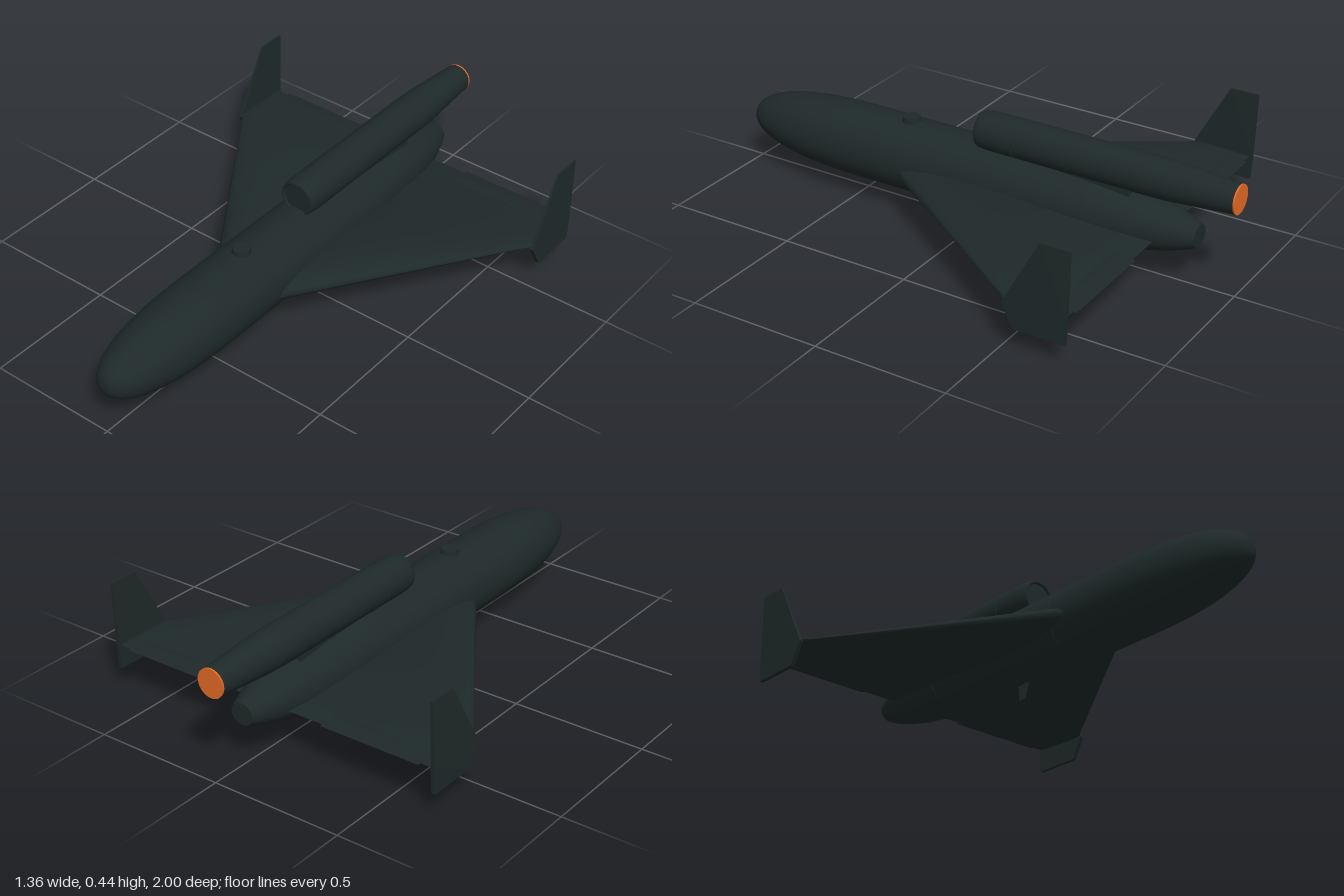
import * as THREE from 'three';

const hull = new THREE.MeshStandardMaterial({ color: 0x1e2929 });
hull.name = 'dark green grey';
const glow = new THREE.MeshStandardMaterial({ color: 0xe56b25 });
glow.name = 'exhaust orange';

function part(name, geometry, material = hull) {
  const mesh = new THREE.Mesh(geometry, material);
  mesh.name = name;
  return mesh;
}

// Body of revolution along z from [radius, z] pairs, tail to nose
function latheZ(profile) {
  const pts = profile.map(([r, z]) => new THREE.Vector2(r, z));
  return new THREE.LatheGeometry(pts, 48).rotateX(Math.PI / 2);
}

// Fine panel seam cut into a body of revolution
const seam = (r, z) => [
  [r, z - 0.002], [r, z - 0.002], [r - 0.002, z], [r - 0.002, z], [r, z + 0.002], [r, z + 0.002],
];

// Symmetric airfoil surface through stations { x, front, back, half }
function airfoilLoft(stations, side, y) {
  const n = 12, ring = 2 * n + 1, pos = [], index = [];
  for (const s of stations) {
    for (let i = 0; i < ring; i++) {
      // trailing edge, over the top to the nose, back underneath
      const a = (i / (ring - 1)) * Math.PI * 2;
      const u = (1 + Math.cos(a)) / 2;
      const t = 2.969 * Math.sqrt(u) - 1.26 * u - 3.516 * u * u + 2.843 * u ** 3 - 1.036 * u ** 4;
      const h = s.half * t * Math.sign(Math.PI - a);
      pos.push(side * s.x, y + h, s.front + (s.back - s.front) * u);
    }
  }
  const quad = (a, b, c, d) => {
    if (side > 0) index.push(a, c, b, a, d, c);
    else index.push(a, b, c, a, c, d);
  };
  for (let j = 0; j < stations.length - 1; j++) {
    for (let i = 0; i < ring - 1; i++) {
      const a = j * ring + i;
      quad(a, a + ring, a + ring + 1, a + 1);
    }
    // blunt trailing edge
    const a = j * ring;
    quad(a, a + ring - 1, a + 2 * ring - 1, a + ring);
  }
  // closed ends
  const last = (stations.length - 1) * ring;
  for (let i = 0; i < n; i++) {
    const k = ring - 1 - i;
    quad(i, i + 1, k - 1, k);
    quad(last + i, last + k, last + k - 1, last + i + 1);
  }
  const g = new THREE.BufferGeometry();
  g.setAttribute('position', new THREE.Float32BufferAttribute(pos, 3));
  g.setIndex(index);
  g.computeVertexNormals();
  return g;
}

// Upright plate from a [z, y] outline, centred on x = 0
function plate(outline, thickness) {
  const shape = new THREE.Shape(outline.map(([z, y]) => new THREE.Vector2(z, y)));
  return new THREE.ExtrudeGeometry(shape, { depth: thickness, bevelEnabled: false })
    .translate(0, 0, -thickness / 2)
    .rotateY(-Math.PI / 2);
}

export function createModel() {
  const model = new THREE.Group();
  model.name = 'deltaWingAircraft';

  // Fuselage: blunt tail, long barrel, full rounded nose
  const profile = [
    [0, -0.86], [0.044, -0.86], [0.044, -0.86], [0.062, -0.82], [0.086, -0.75], [0.104, -0.67],
    [0.118, -0.58], ...seam(0.13, -0.46), [0.139, -0.32], [0.143, -0.15], ...seam(0.144, 0.2),
  ];
  for (let i = 0; i <= 20; i++) {
    const a = (i / 20) * Math.PI / 2;
    const r = 0.144 * Math.max(0, Math.cos(a)) ** 0.84;
    profile.push([r, 0.48 + 0.52 * Math.sin(a) ** 0.84]);
  }
  const fuselage = part('fuselage', latheZ(profile));
  fuselage.scale.y = 0.925;
  fuselage.position.y = 0.19;
  model.add(fuselage);

  // Engine pod with shallow intake and tapered jet pipe
  const engine = new THREE.Group();
  engine.name = 'engine';
  engine.position.y = 0.368;
  engine.add(part('enginePod', latheZ([
    [0, -0.994], [0.053, -0.994], [0.053, -0.994], [0.07, -0.76], [0.072, -0.68], ...seam(0.072, -0.16),
    [0.072, -0.06], [0.07, -0.025], [0.066, -0.005], [0.062, 0], [0.058, -0.004], [0.056, -0.01],
    [0.056, -0.01], [0, -0.01],
  ])));
  const exhaust = part('exhaust', new THREE.CylinderGeometry(0.053, 0.053, 0.006, 48).rotateX(Math.PI / 2), glow);
  exhaust.position.z = -0.997;
  engine.add(exhaust);
  model.add(engine);

  // Saddle joining the engine to the fuselage
  const saddle = part('engineSaddle', new THREE.BoxGeometry(0.09, 0.05, 0.58));
  saddle.position.set(0, 0.308, -0.32);
  model.add(saddle);

  // Dome on the spine
  const dome = part('spineDome', new THREE.CylinderGeometry(0.031, 0.038, 0.04, 32));
  dome.position.set(0, 0.32, 0.3);
  model.add(dome);

  // Small blade under the belly
  model.add(part('bellyBlade', plate([[-0.05, 0.08], [-0.112, 0.08], [-0.108, 0], [-0.078, 0]], 0.004)));

  // Wings, elevons and tip fins
  for (const side of [1, -1]) {
    const label = side > 0 ? 'left' : 'right';
    model.add(part(label + 'Wing', airfoilLoft([
      { x: 0.08, front: 0.365, back: -0.73, half: 0.054 },
      { x: 0.645, front: -0.475, back: -0.73, half: 0.008 },
      { x: 0.675, front: -0.51, back: -0.73, half: 0.006 },
    ], side, 0.171)));
    model.add(part(label + 'Elevon', airfoilLoft([
      { x: 0.23, front: -0.65, back: -0.742, half: 0.01 },
      { x: 0.62, front: -0.65, back: -0.742, half: 0.006 },
    ], side, 0.171)));

    const finGeometry = plate([
      [-0.5, 0.163], [-0.545, 0.08], [-0.735, 0.08], [-0.74, 0.17], [-0.748, 0.418], [-0.638, 0.418],
    ], 0.015);
    // thin the fin towards its top
    const p = finGeometry.attributes.position;
    for (let i = 0; i < p.count; i++) {
      const k = Math.max(0, (p.getY(i) - 0.17) / 0.248);
      p.setX(i, p.getX(i) * (1 - 0.5 * k));
    }
    finGeometry.computeVertexNormals();
    const fin = part(label + 'TipFin', finGeometry);
    fin.position.x = side * 0.674;
    model.add(fin);
  }
  return model;
}
